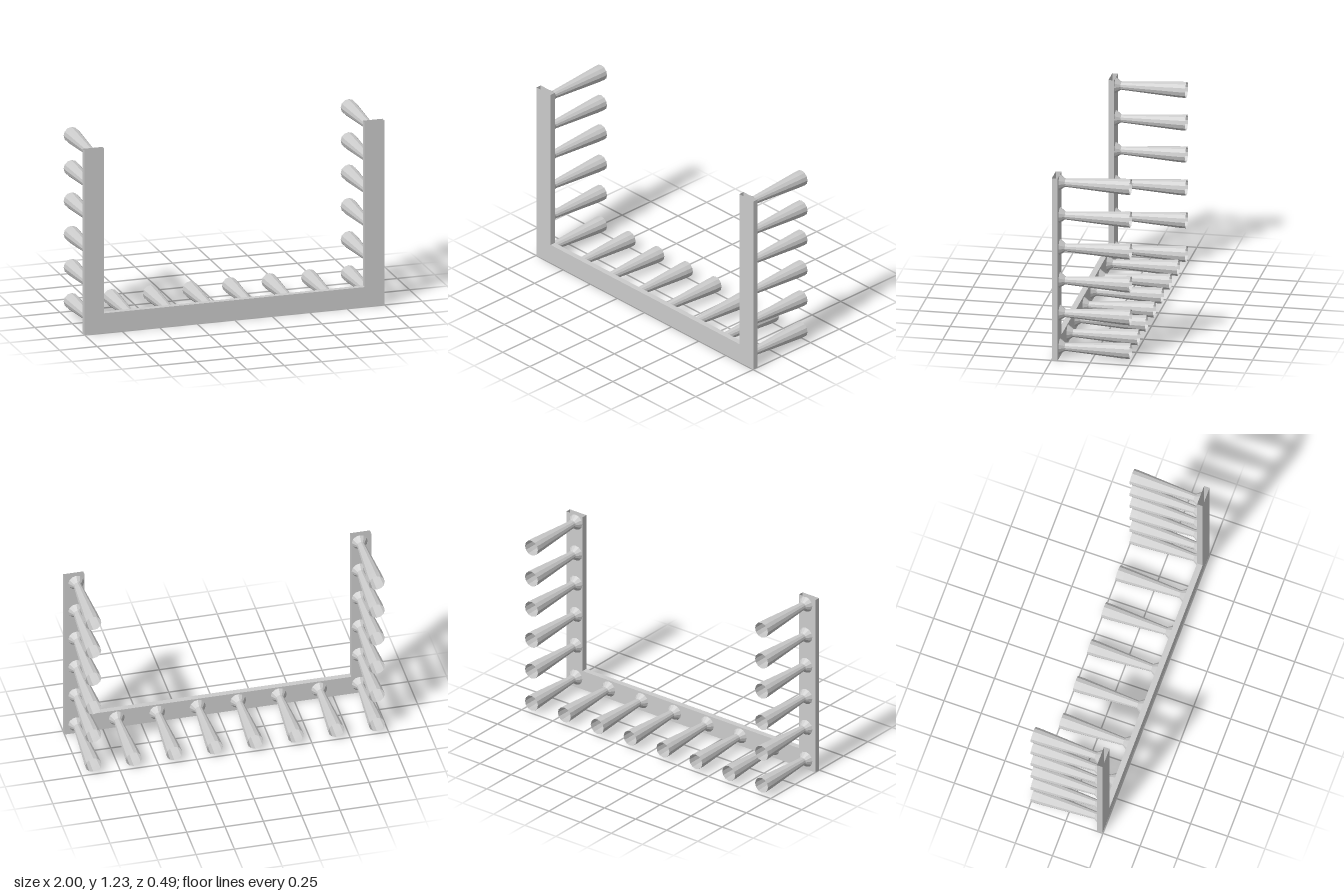
import * as THREE from 'three';

export function createModel() {
  const model = new THREE.Group();
  const material = new THREE.MeshStandardMaterial({
    color: 0xcccccc, flatShading: true, side: THREE.DoubleSide,
  });

  const top = 1.226, width = 0.131, back = 0.21, front = 0.247;

  // U-shaped frame, a hollow shell
  const inner = 1 - width;
  const outline = new THREE.Shape([
    [-1, 0], [1, 0], [1, top], [inner, top],
    [inner, width], [-inner, width], [-inner, top], [-1, top],
  ].map(([x, y]) => new THREE.Vector2(x, y)));
  const solid = new THREE.ExtrudeGeometry(outline, { depth: front - back, bevelEnabled: false });
  solid.translate(0, 0, back);

  // Leave the upper ends of the uprights open
  const source = solid.getAttribute('position');
  const kept = [];
  for (let i = 0; i < source.count; i += 3) {
    const corners = [i, i + 1, i + 2];
    if (corners.every((c) => source.getY(c) > top - 0.001)) continue;
    for (const c of corners) kept.push(source.getX(c), source.getY(c), source.getZ(c));
  }
  const shell = new THREE.BufferGeometry();
  shell.setAttribute('position', new THREE.Float32BufferAttribute(kept, 3));
  shell.computeVertexNormals();
  const frame = new THREE.Mesh(shell, material);
  frame.name = 'frame';
  model.add(frame);

  // Open tapered peg with a flared foot, pointing backwards
  const pegGeometry = new THREE.LatheGeometry([
    [0.052, 0], [0.026, 0.036], [0.051, 0.41], [0.052, 0.457],
  ].map(([r, d]) => new THREE.Vector2(r, d)), 12);
  pegGeometry.rotateX(-Math.PI / 2);

  function addPeg(name, x, y) {
    const peg = new THREE.Mesh(pegGeometry, material);
    peg.name = name;
    peg.position.set(x, y, back);
    model.add(peg);
  }

  // Row of pegs along the bottom bar, corners included
  const low = 0.07, side = 0.924;
  for (let i = 0; i < 8; i++) addPeg('bottomPeg', -side + (i * 2 * side) / 7, low);

  // Pegs up both uprights
  for (const y of [0.297, 0.517, 0.739, 0.954, 1.174]) {
    addPeg('leftPeg', side, y);
    addPeg('rightPeg', -side, y);
  }

  return model;
}
